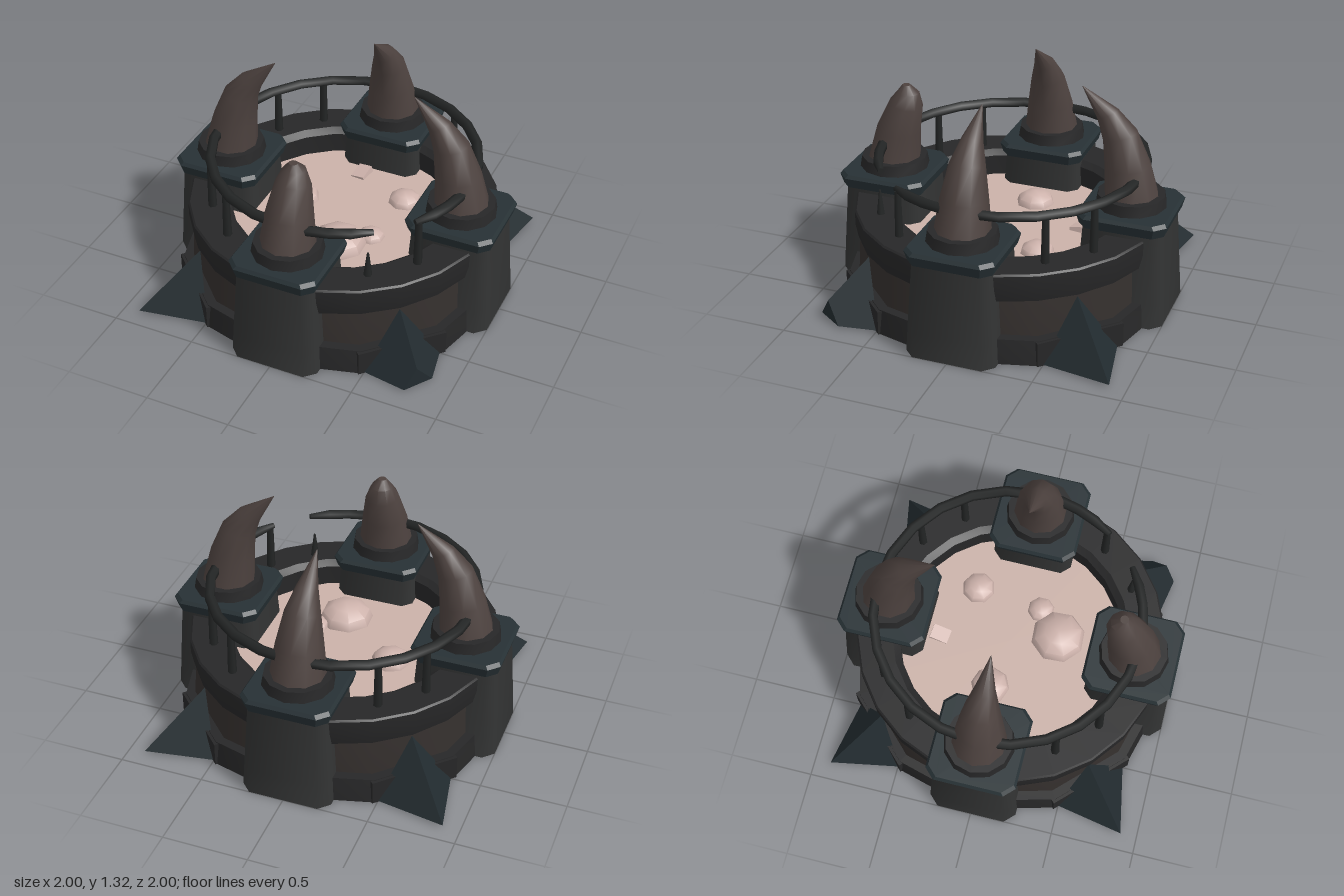
import * as THREE from 'three';
import { toCreasedNormals } from 'three/addons/utils/BufferGeometryUtils.js';

const mat = (color) => new THREE.MeshStandardMaterial({ color, roughness: 1, side: THREE.DoubleSide });
const STONE = mat(0x323333), RIM = mat(0x272728), WALL = mat(0x35302e), CAP = mat(0x273135);
const HORN = mat(0x4d423f), IRON = mat(0x232525), SPIKE = mat(0x222b2f);
const POOL = mat(0xcbb2a9), BUBBLE = mat(0xcdb2ab);
const V = (x, y, z) => new THREE.Vector3(x, y, z);
const DEG = Math.PI / 180;

// Skin a series of equal-length rings; optionally close the first and last one
function loft(rings, crease, capStart = false, capEnd = false) {
  const n = rings[0].length, pos = [], idx = [];
  rings.forEach((r) => r.forEach((p) => pos.push(p.x, p.y, p.z)));
  for (let k = 0; k < rings.length - 1; k++) {
    for (let i = 0; i < n; i++) {
      const a = k * n + i, b = k * n + (i + 1) % n;
      idx.push(a, b, b + n, a, b + n, a + n);
    }
  }
  const last = (rings.length - 1) * n;
  for (let i = 1; i < n - 1; i++) {
    if (capStart) idx.push(0, i + 1, i);
    if (capEnd) idx.push(last, last + i, last + i + 1);
  }
  const g = new THREE.BufferGeometry();
  g.setAttribute('position', new THREE.Float32BufferAttribute(pos, 3));
  g.setIndex(idx);
  return toCreasedNormals(g, crease);
}

// Square outline with cut corners at height y, listed anticlockwise from above
function cutSquare(h, c, y) {
  const k = h - c;
  return [[-k, h], [k, h], [h, k], [h, -k], [k, -h], [-k, -h], [-h, -k], [-h, k]].map(([x, z]) => V(x, y, z));
}

function circle(r, y, z, sides, tilt = 0) {
  return Array.from({ length: sides }, (_, i) => {
    const a = (i / sides) * Math.PI * 2;
    return V(r * Math.sin(a), y + tilt * r * Math.cos(a), z + r * Math.cos(a));
  });
}

export function createModel() {
  const model = new THREE.Group();
  const add = (parent, name, geo, material) => {
    const m = new THREE.Mesh(geo, material);
    m.name = name;
    parent.add(m);
    return m;
  };

  // Basin: faceted skirt and wall under a rounder rim
  const ring = (name, pts, sides, material) => add(model, name, toCreasedNormals(
    new THREE.LatheGeometry(pts.map(([r, y]) => new THREE.Vector2(r, y)), sides), 0.6), material);
  ring('skirt', [[0.97, 0], [0.955, 0.15], [0.88, 0.15]], 12, RIM);
  ring('wall', [[0.9, 0.14], [0.885, 0.38]], 12, WALL);
  ring('rim', [[0.66, 0.37], [0.895, 0.37], [0.91, 0.45], [0.91, 0.53], [0.9, 0.54],
    [0.7, 0.54], [0.66, 0.51], [0.66, 0.37]], 24, RIM);

  // Liquid with flattened bubbles
  const pool = add(model, 'pool', new THREE.CircleGeometry(0.69, 12), POOL);
  pool.rotation.x = -Math.PI / 2;
  pool.position.y = 0.385;
  for (const [x, z, r] of [[-0.305, -0.05, 0.117], [0.28, -0.27, 0.102], [0.235, 0.13, 0.083], [0.09, 0.27, 0.165]]) {
    const b = add(model, 'bubble', toCreasedNormals(new THREE.SphereGeometry(r, 8, 6), 0.8), BUBBLE);
    b.position.set(x, 0.38, z);
    b.rotation.y = x * 5;
    b.scale.y = 0.7;
  }
  const chunk = add(model, 'floatingChunk', new THREE.BoxGeometry(0.085, 0.05, 0.11), BUBBLE);
  chunk.position.set(-0.065, 0.385, -0.42);
  chunk.rotation.set(0.2, -0.1, 0.15);

  // Horn sections: height, distance from centre, radius, tilt of the section
  const whole = [[0.7, 0.735, 0.16, 0], [0.88, 0.705, 0.135, 0.08], [1.06, 0.655, 0.1, 0.25],
    [1.175, 0.58, 0.06, 0.5], [1.32, 0.43, 0.002, 0.5]];
  const broken = [[0.7, 0.735, 0.16, 0], [0.88, 0.705, 0.135, 0.08], [1.05, 0.65, 0.1, 0.2],
    [1.125, 0.635, 0.066, 0.05], [1.17, 0.645, 0.025, 0]];

  // Four towers, each with a cap, a collar and an inward-curving horn
  for (let q = 0; q < 4; q++) {
    const tower = new THREE.Group();
    tower.name = 'tower';
    tower.rotation.y = q * Math.PI / 2;
    model.add(tower);
    const c = 0.735;
    add(tower, 'pillar', loft([cutSquare(0.265, 0.06, 0), cutSquare(0.255, 0.055, 0.15),
      cutSquare(0.228, 0.05, 0.58)], 0.85), STONE).position.z = c;
    add(tower, 'pillarCap', loft([cutSquare(0.22, 0.05, 0.57), cutSquare(0.248, 0.055, 0.57),
      cutSquare(0.264, 0.06, 0.63), cutSquare(0.25, 0.06, 0.65)], 0.5, true, true), CAP).position.z = c;
    add(tower, 'hornCollar', loft([circle(0.208, 0.64, c, 12), circle(0.195, 0.715, c, 12)], 0.6, false, true), RIM);
    const rings = (q === 0 ? broken : whole).map(([y, z, r, t]) => circle(r, y, z, 10, t));
    add(tower, 'horn', loft(rings, 0.75, false, true), HORN);
  }

  // Diagonal ground spikes on backing plates; the front left one has lost its tip
  const base = [V(-0.235, 0.005, 0.93), V(0.235, 0.005, 0.93), V(0, 0.355, 0.885)];
  const tip = V(0, 0.015, 1.275);
  for (let q = 0; q < 4; q++) {
    const corner = new THREE.Group();
    corner.name = 'spikeCorner';
    corner.rotation.y = (45 + q * 90) * DEG;
    model.add(corner);
    const cut = q === 0 ? [0.66, 0.56, 0.66] : [0.999, 0.999, 0.999];
    const end = base.map((p, i) => p.clone().lerp(tip, cut[i]));
    add(corner, 'groundSpike', loft([base, end], 0.3, true, true), SPIKE);
    add(corner, 'spikePlate', new THREE.BoxGeometry(0.53, 0.145, 0.05), RIM).position.set(0, 0.0725, 0.915);
  }

  // Handrail arcs, centred slightly to the back; broken ends are blunt and narrowed
  const rail = (from, to, steps, brokenStart, brokenEnd) => {
    const rings = [];
    for (let i = 0; i <= steps; i++) {
      const a = (from + (to - from) * i / steps) * DEG;
      const narrow = (i === 0 && brokenStart) || (i === steps && brokenEnd);
      rings.push(Array.from({ length: 6 }, (_, k) => {
        const b = k * Math.PI / 3, r = narrow ? 0.018 : 0.031;
        const R = 0.775 + r * Math.sin(b);
        return V(R * Math.sin(a), 0.825 + r * Math.cos(b), R * Math.cos(a) - 0.015);
      }));
    }
    add(model, 'handrail', loft(rings, 1.1, true, true), IRON);
  };
  rail(90, 360, 18, false, false);
  rail(0, 36, 4, false, true);
  rail(54, 90, 4, true, false);

  // Rail posts, two per quarter, one snapped off short
  for (let q = 0; q < 4; q++) {
    for (const a of [34, 56]) {
      const stub = q === 0 && a === 34;
      const h = stub ? 0.16 : 0.29, t = (q * 90 + a) * DEG;
      const p = add(model, stub ? 'brokenPost' : 'railPost',
        new THREE.CylinderGeometry(stub ? 0.006 : 0.02, 0.026, h, 6), IRON);
      p.position.set(0.775 * Math.sin(t), 0.53 + h / 2, 0.775 * Math.cos(t) - 0.01);
    }
  }
  return model;
}
